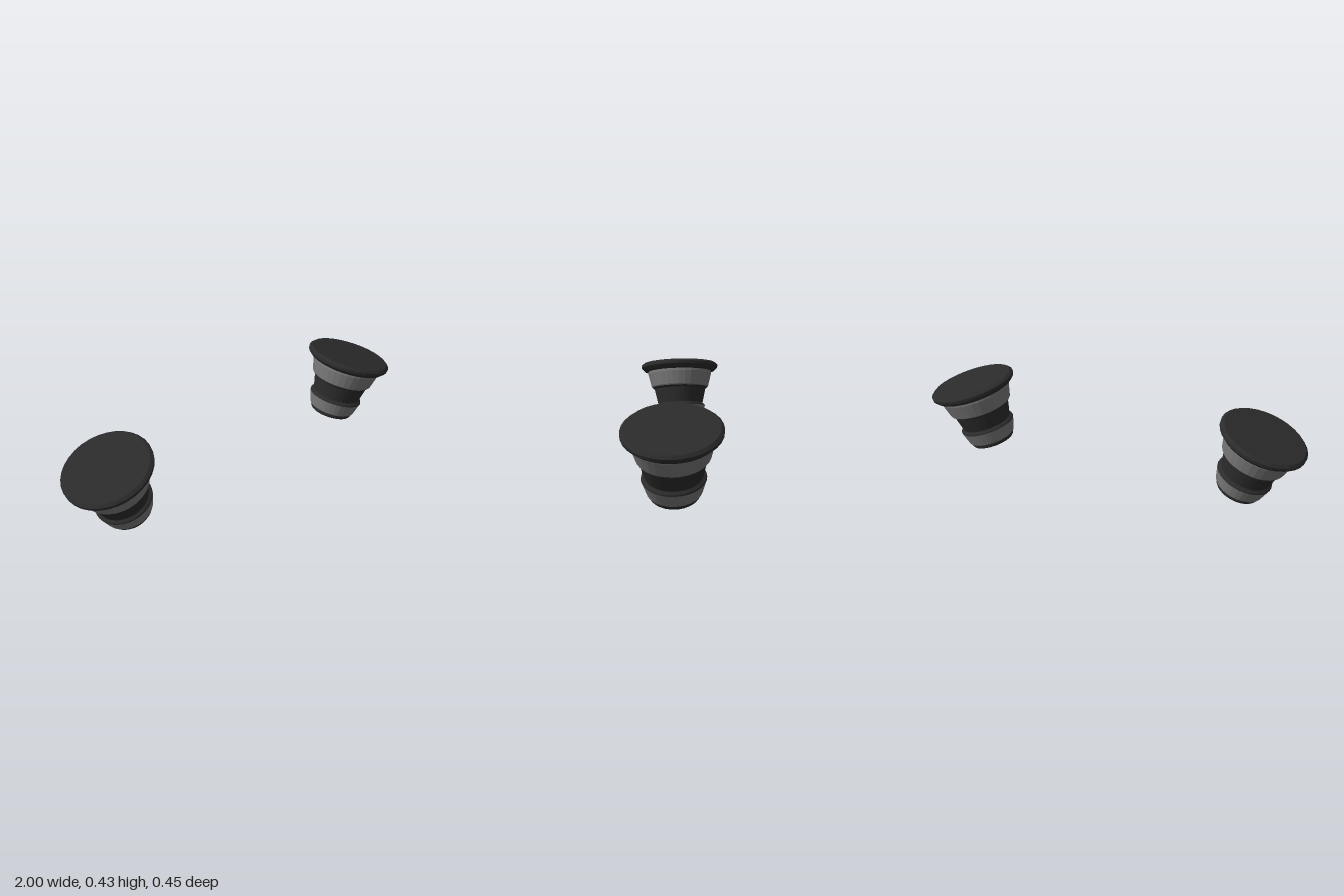
import * as THREE from 'three';

const SEGMENTS = 32;
const dark = new THREE.MeshStandardMaterial({ color: 0x2b2b2b, flatShading: true });
const grey = new THREE.MeshStandardMaterial({ color: 0x777777, flatShading: true });

// Turned part from [radius, height] pairs, listed bottom to top along the outside
function turned(name, material, profile) {
  const points = profile.map(([r, h]) => new THREE.Vector2(r, h));
  const mesh = new THREE.Mesh(new THREE.LatheGeometry(points, SEGMENTS), material);
  mesh.name = name;
  return mesh;
}

// One stepped plug standing on its local y axis
function createPlug(name) {
  const plug = new THREE.Group();
  plug.name = name;
  plug.add(
    // recess in the underside
    turned('socket', grey, [[0, 0.06], [0.076, 0.06], [0.076, 0.035], [0.086, 0.03], [0.088, 0]]),
    // dark rim around the recess
    turned('baseLip', dark, [[0.088, 0], [0.092, -0.004], [0.111, -0.004], [0.116, 0.003], [0.118, 0.018]]),
    // lower grey ring with a dark chamfer above
    turned('lowerBand', grey, [[0.118, 0.016], [0.126, 0.022], [0.146, 0.09]]),
    turned('lowerBandChamfer', dark, [[0.146, 0.09], [0.144, 0.097], [0.131, 0.107]]),
    // recessed dark waist
    turned('waist', dark, [[0.13, 0.1], [0.151, 0.192], [0.163, 0.202]]),
    // upper grey ring
    turned('upperBand', grey, [[0.163, 0.202], [0.168, 0.208], [0.187, 0.283], [0.187, 0.305]]),
    // bevelled cap
    turned('cap', dark, [
      [0.18, 0.296], [0.193, 0.296], [0.207, 0.301], [0.225, 0.319],
      [0.226, 0.334], [0.212, 0.346], [0, 0.347],
    ]),
  );
  return plug;
}

export function createModel() {
  const model = new THREE.Group();
  model.name = 'plugPair';
  // mirrored pair, leaning outwards and slightly forwards
  for (const [name, side] of [['leftPlug', 1], ['rightPlug', -1]]) {
    const plug = createPlug(name);
    plug.position.set(side * 0.683, 0.04, -0.009);
    plug.rotation.set(0.03, 0, -side * 0.315);
    model.add(plug);
  }
  return model;
}
